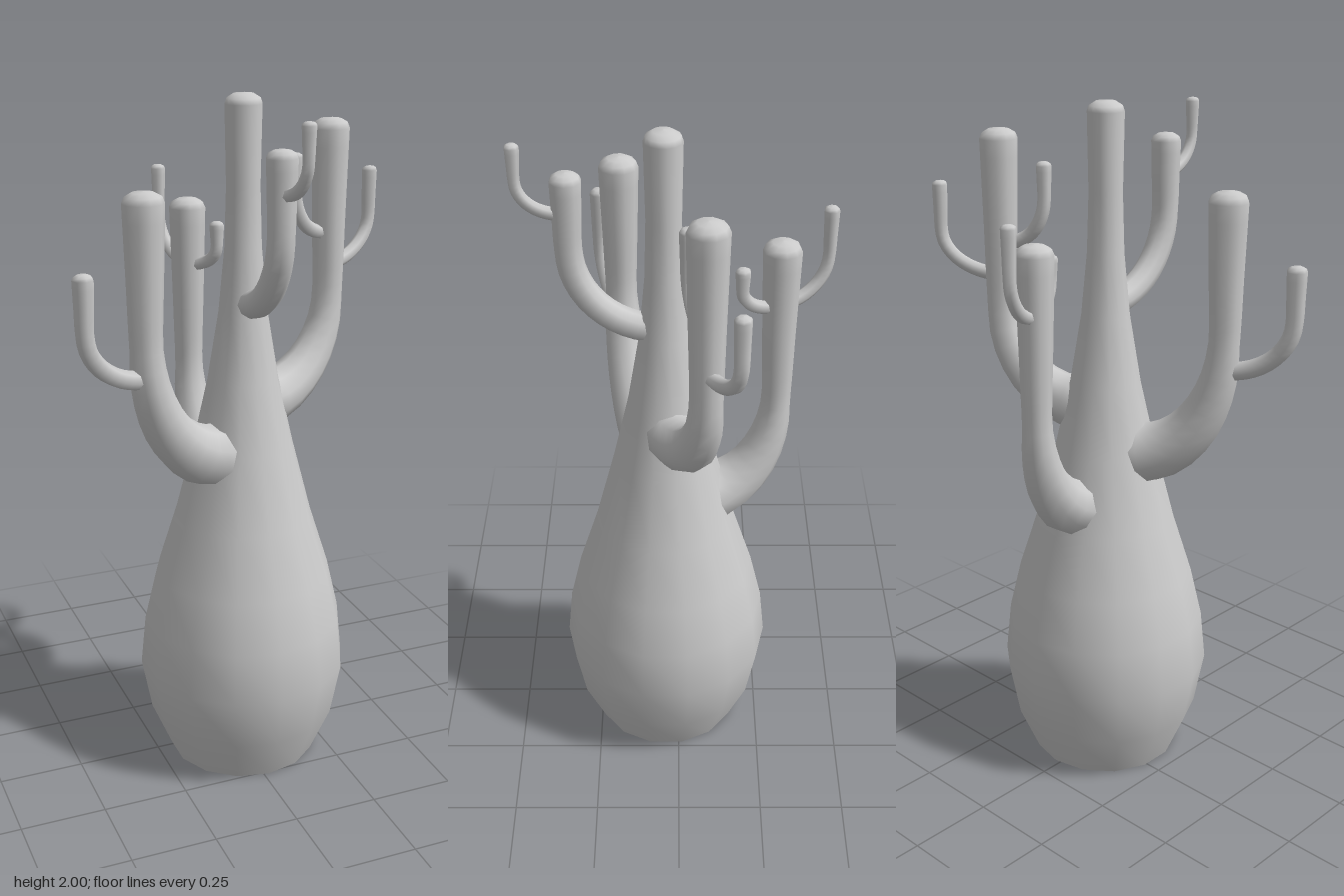
import * as THREE from 'three';

const material = new THREE.MeshStandardMaterial({ color: 0xcccccc });

// Path that leaves the start sideways, turns up in a quarter arc until the
// height bendY, then runs straight to the tip.
function upturnedPath(start, tip, bendY) {
  const points = [];
  for (let i = 0; i <= 6; i++) {
    const a = (i / 6) * Math.PI / 2;
    points.push(new THREE.Vector3(
      THREE.MathUtils.lerp(start.x, tip.x, Math.sin(a)),
      THREE.MathUtils.lerp(start.y, bendY, 1 - Math.cos(a)),
      THREE.MathUtils.lerp(start.z, tip.z, Math.sin(a)),
    ));
  }
  points.push(new THREE.Vector3(tip.x, (bendY + tip.y) / 2, tip.z), tip);
  return new THREE.CatmullRomCurve3(points);
}

// Limb that narrows from base to waist along the bend, widens again towards
// the tip and ends in a rounded cap.
function makeLimb(name, from, to, bendY, [baseR, waistR, tipR], sides) {
  const start = new THREE.Vector3(...from);
  const tip = new THREE.Vector3(...to);
  // the cap adds 0.54 of the tip radius
  tip.y -= 0.54 * tipR;
  const curve = upturnedPath(start, tip, bendY);
  const rings = 18;
  const frames = curve.computeFrenetFrames(rings);
  const pos = [];
  const index = [];

  const addRing = (centre, i, r) => {
    for (let s = 0; s < sides; s++) {
      const a = (s / sides) * Math.PI * 2;
      const v = centre.clone()
        .addScaledVector(frames.normals[i], -Math.cos(a) * r)
        .addScaledVector(frames.binormals[i], Math.sin(a) * r);
      pos.push(v.x, v.y, v.z);
    }
  };

  for (let i = 0; i <= rings; i++) {
    const p = curve.getPointAt(i / rings);
    const bend = THREE.MathUtils.clamp((p.y - start.y) / (bendY - start.y), 0, 1);
    const rise = THREE.MathUtils.clamp((p.y - bendY) / (tip.y - bendY), 0, 1);
    addRing(p, i, THREE.MathUtils.lerp(baseR, waistR, Math.sqrt(bend)) + (tipR - waistR) * rise);
  }
  // rounded cap: [advance, radius] as fractions of the tip radius
  for (const [d, r] of [[0.3, 0.87], [0.48, 0.55], [0.54, 0.001]]) {
    addRing(tip.clone().addScaledVector(frames.tangents[rings], d * tipR), rings, r * tipR);
  }

  for (let i = 0; i < rings + 3; i++) {
    for (let s = 0; s < sides; s++) {
      const a = i * sides + s;
      const b = i * sides + ((s + 1) % sides);
      index.push(a, a + sides, b, a + sides, b + sides, b);
    }
  }
  const geometry = new THREE.BufferGeometry();
  geometry.setAttribute('position', new THREE.Float32BufferAttribute(pos, 3));
  geometry.setIndex(index);
  geometry.computeVertexNormals();
  const mesh = new THREE.Mesh(geometry, material);
  mesh.name = name;
  return mesh;
}

// Branch with its twigs; each twig is [start, tip, bend height]
function makeBranch(name, start, tip, bendY, radii, twigRadii, twigs) {
  const group = new THREE.Group();
  group.name = name;
  group.add(makeLimb(`${name}Limb`, start, tip, bendY, radii, 10));
  twigs.forEach(([from, to, bend], i) => {
    group.add(makeLimb(`${name}Twig${i + 1}`, from, to, bend, twigRadii, 7));
  });
  return group;
}

// Swollen trunk tapering to a slim rounded top, with a flat underside
function makeTrunk() {
  const baseR = 0.222;
  const sides = 14;
  const profile = [
    [baseR, 0], [0.282, 0.14], [0.312, 0.3], [0.297, 0.45], [0.262, 0.6], [0.205, 0.78], [0.148, 1],
    [0.103, 1.2], [0.07, 1.4], [0.053, 1.58], [0.048, 1.75], [0.052, 1.97], [0.047, 1.985], [0.028, 1.997], [0, 2],
  ].map(([r, y]) => new THREE.Vector2(r, y));
  const group = new THREE.Group();
  group.name = 'trunk';
  const body = new THREE.Mesh(new THREE.LatheGeometry(profile, sides), material);
  body.name = 'trunkBody';
  const base = new THREE.Mesh(new THREE.CircleGeometry(baseR, sides, Math.PI / 2), material);
  base.name = 'trunkBase';
  base.rotation.x = Math.PI / 2;
  group.add(body, base);
  group.position.set(0.017, 0, 0.04);
  return group;
}

export function createModel() {
  const model = new THREE.Group();
  model.name = 'bottleTree';
  model.add(makeTrunk());

  model.add(makeBranch('rightBranch', [-0.06, 0.99, 0.07], [-0.315, 1.78, 0.17], 1.36,
    [0.1, 0.045, 0.057], [0.027, 0.025, 0.029], [
      [[-0.31, 1.275, 0.17], [-0.502, 1.595, 0.237], 1.44],
    ]));

  model.add(makeBranch('leftBranch', [0.08, 1.115, 0.02], [0.332, 1.905, -0.07], 1.39,
    [0.085, 0.044, 0.055], [0.021, 0.02, 0.023], [
      [[0.34, 1.48, -0.07], [0.503, 1.745, -0.15], 1.6],
      [[0.31, 1.58, -0.06], [0.2, 1.82, -0.022], 1.72],
    ]));

  model.add(makeBranch('backBranch', [0.01, 0.85, -0.07], [-0.03, 1.665, -0.28], 1.16,
    [0.1, 0.041, 0.054], [0.02, 0.018, 0.022], [
      [[-0.03, 1.47, -0.28], [-0.075, 1.745, -0.41], 1.6],
      [[-0.025, 1.47, -0.27], [0.022, 1.61, -0.173], 1.54],
    ]));

  model.add(makeBranch('frontBranch', [0.02, 1.425, 0.05], [0.02, 1.885, 0.293], 1.67,
    [0.042, 0.038, 0.043], [0.019, 0.016, 0.02], [
      [[0.02, 1.77, 0.3], [0.034, 1.97, 0.423], 1.87],
    ]));

  return model;
}
